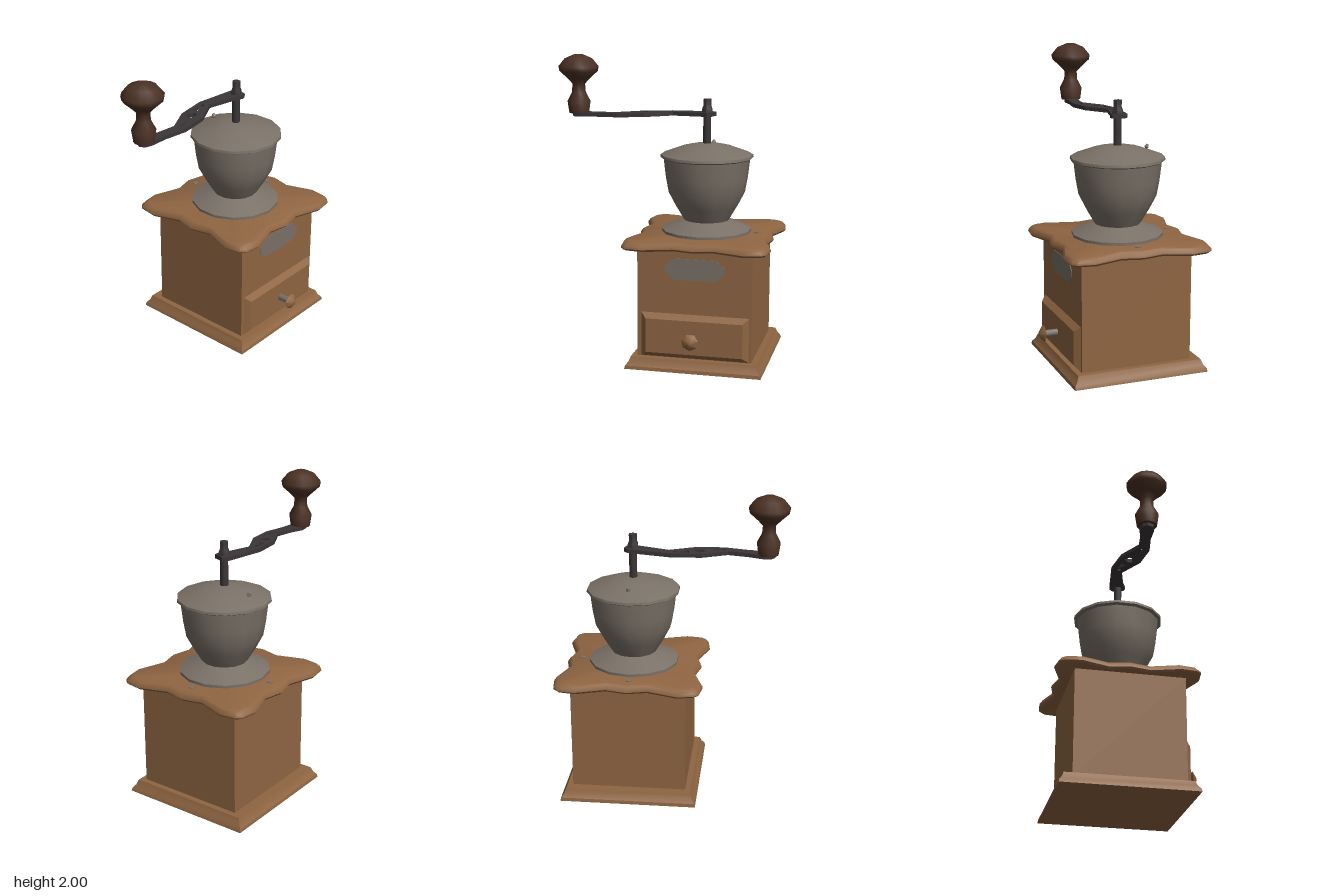
import * as THREE from 'three';
import { toCreasedNormals } from 'three/addons/utils/BufferGeometryUtils.js';

const CX = 0.26, CZ = -0.026; // axis of the box and hopper

// Closed solid from stacked outlines: rings = [[y, [[x, z], ...]], ...]
function loft(rings, crease = 0.5) {
  const n = rings[0][1].length, pos = [], idx = [];
  for (const [y, pts] of rings) for (const [x, z] of pts) pos.push(x, y, z);
  for (let r = 0; r < rings.length - 1; r++) {
    for (let i = 0; i < n; i++) {
      const a = r * n + i, b = r * n + (i + 1) % n;
      idx.push(a, b, b + n, a, b + n, a + n);
    }
  }
  const last = (rings.length - 1) * n, c = rings.length * n;
  pos.push(0, rings[0][0], 0, 0, rings[rings.length - 1][0], 0);
  for (let i = 0; i < n; i++) {
    const j = (i + 1) % n;
    idx.push(c, j, i, c + 1, last + i, last + j);
  }
  const g = new THREE.BufferGeometry();
  g.setAttribute('position', new THREE.Float32BufferAttribute(pos, 3));
  g.setIndex(idx);
  return toCreasedNormals(g, crease);
}

const rect = (w, d) => [[-w, d], [w, d], [w, -d], [-w, -d]];

// Repeat one side of an outline around all four sides
function fourSides(side) {
  const out = [];
  let pts = side;
  for (let k = 0; k < 4; k++) {
    out.push(...pts);
    pts = pts.map(([x, z]) => [z, -x]);
  }
  return out;
}

function lathe(profile, segments, crease = 0.6) {
  const pts = profile.map(([r, y]) => new THREE.Vector2(r, y));
  return toCreasedNormals(new THREE.LatheGeometry(pts, segments), crease);
}

export function createModel() {
  const group = new THREE.Group();
  const material = (name, color) => {
    const m = new THREE.MeshStandardMaterial({ color });
    m.name = name;
    return m;
  };
  const wood = material('wood', 0x8f6542);
  const metal = material('greyMetal', 0x7a7167);
  const iron = material('darkIron', 0x3b3638);
  const darkWood = material('darkWood', 0x4a3023);

  const add = (name, geometry, mat, x = CX, y = 0, z = CZ) => {
    const mesh = new THREE.Mesh(geometry, mat);
    mesh.name = name;
    mesh.position.set(x, y, z);
    group.add(mesh);
    return mesh;
  };

  // Stepped base and box
  add('base', loft([
    [0, rect(0.449, 0.453)], [0.022, rect(0.443, 0.449)],
    [0.045, rect(0.425, 0.43)], [0.078, rect(0.412, 0.418)],
  ], 0.4), wood);
  add('box', new THREE.BoxGeometry(0.75, 0.73, 0.738), wood, CX, 0.435, -0.014);

  // Wavy top board with a sloping rim
  const outer = fourSides([[-0.328, 0.484], [-0.136, 0.42], [0, 0.452], [0.136, 0.42],
    [0.328, 0.484], [0.438, 0.468], [0.468, 0.438]]);
  const inner = fourSides([[-0.36, 0.44], [-0.136, 0.388], [0, 0.42], [0.136, 0.388],
    [0.36, 0.44], [0.405, 0.43], [0.43, 0.405]]);
  const scaled = (s) => outer.map(([x, z]) => [x * s, z * s]);
  add('topBoard', loft([
    [0.795, scaled(0.975)], [0.808, scaled(1)], [0.82, scaled(0.995)],
    [0.842, scaled(0.96)], [0.85, inner],
  ], 0.7), wood);
  for (const [x, z] of [[0.248, -0.38], [0.604, -0.028]]) {
    add('rivet', new THREE.CylinderGeometry(0.02, 0.02, 0.006, 10), metal, x, 0.852, z);
  }

  // Bevelled drawer front
  const drawer = loft([[0, rect(0.355, 0.148)], [0.037, rect(0.318, 0.113)]], 0.2);
  drawer.rotateX(Math.PI / 2);
  add('drawer', drawer, wood, 0.265, 0.228, 0.354);

  // Drawer knob
  const stem = new THREE.CylinderGeometry(0.023, 0.023, 0.1, 8);
  stem.rotateX(Math.PI / 2);
  add('knobStem', stem, metal, CX, 0.23, 0.435);
  const knob = lathe([[0, 0], [0.022, 0], [0.056, 0.012], [0.048, 0.02], [0.018, 0.042], [0, 0.045]], 7);
  knob.rotateX(Math.PI / 2);
  add('knob', knob, wood, CX, 0.23, 0.469);

  // Eight-sided plate on the front
  const plate = loft([
    [0, [[-0.195, 0.02], [-0.138, 0.07], [0.138, 0.07], [0.195, 0.02],
      [0.195, -0.02], [0.138, -0.07], [-0.138, -0.07], [-0.195, -0.02]]],
    [0.005, [[-0.195, 0.02], [-0.138, 0.07], [0.138, 0.07], [0.195, 0.02],
      [0.195, -0.02], [0.138, -0.07], [-0.138, -0.07], [-0.195, -0.02]]],
  ]);
  plate.rotateX(Math.PI / 2);
  add('frontPlate', plate, metal, 0.263, 0.672, 0.354);

  // Hopper and lid
  add('hopper', lathe([[0, 0.849], [0.297, 0.849], [0.297, 0.868], [0.15, 0.928],
    [0.205, 1.02], [0.252, 1.11], [0.27, 1.21], [0.286, 1.345]], 14), metal);
  add('lid', lathe([[0, 1.336], [0.29, 1.336], [0.307, 1.345], [0.304, 1.362],
    [0.16, 1.415], [0.08, 1.432], [0, 1.437]], 14), metal);
  const peg = add('lidPeg', lathe([[0, -0.03], [0.007, -0.03], [0.007, 0.012],
    [0.017, 0.02], [0.008, 0.04], [0, 0.042]], 6), metal, 0.266, 1.392, -0.215);
  peg.rotation.x = -0.45;

  // Shaft and nut
  add('shaft', new THREE.CylinderGeometry(0.026, 0.026, 0.24, 10), iron, CX, 1.52);
  add('nut', toCreasedNormals(lathe([[0, 1.63], [0.037, 1.63], [0.036, 1.66],
    [0.028, 1.68], [0.028, 1.725], [0, 1.727]], 6), 0.5), iron);

  // Pierced crank arm, sinking slightly towards the handle
  const toVec = (pts) => pts.map(([x, z]) => new THREE.Vector2(x, z));
  const armShape = new THREE.Shape(toVec([
    [0.29, -0.08], [0.316, -0.052], [0.292, 0.02], [0.264, 0.026], [0.216, 0.004],
    [0.024, -0.048], [-0.148, 0.044], [-0.328, 0.066], [-0.484, 0.038], [-0.59, 0.034],
    [-0.64, 0.018], [-0.656, -0.02], [-0.635, -0.05], [-0.58, -0.06], [-0.48, -0.03],
    [-0.352, -0.012], [-0.192, -0.096], [0.004, -0.124],
  ]));
  for (const hole of [
    [[-0.345, 0.008], [-0.25, 0.014], [-0.325, 0.032]],
    [[-0.175, -0.068], [-0.136, -0.04], [-0.146, -0.012], [-0.192, -0.008], [-0.206, -0.04]],
    [[-0.112, -0.076], [-0.035, -0.092], [-0.095, -0.042]],
    [[-0.028, -0.084], [-0.004, -0.086], [-0.01, -0.064], [-0.038, -0.062]],
  ]) armShape.holes.push(new THREE.Path(toVec(hole)));
  const arm = new THREE.ExtrudeGeometry(armShape, { depth: 0.026, bevelEnabled: false });
  arm.rotateX(Math.PI / 2);
  const p = arm.attributes.position;
  for (let i = 0; i < p.count; i++) p.setY(i, p.getY(i) + 1.638 + 0.024 * (p.getX(i) - CX));
  arm.computeVertexNormals();
  add('crankArm', arm, iron, 0, 0, 0);

  // Turned handle
  add('handle', lathe([[0, 1.612], [0.066, 1.612], [0.077, 1.69], [0.046, 1.75],
    [0.042, 1.805], [0.072, 1.838], [0.128, 1.89], [0.134, 1.92], [0.092, 1.972],
    [0.032, 1.998], [0, 2]], 14, 1), darkWood, -0.612, 0, -0.018);

  return group;
}
